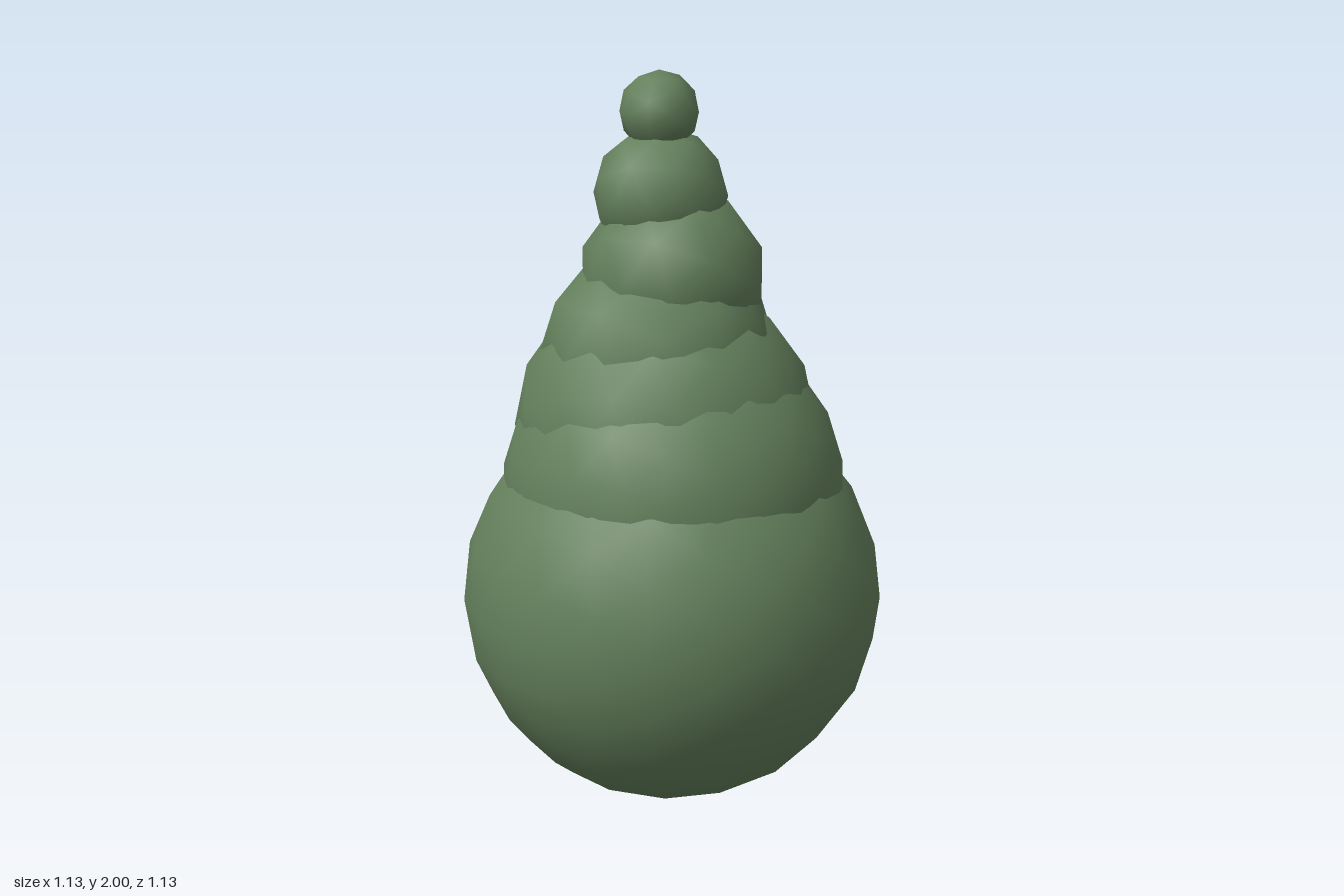
import * as THREE from 'three';

export function createModel() {
  const group = new THREE.Group();
  const green = new THREE.MeshStandardMaterial({ color: 0x64805c });

  // Stacked balls, shrinking and shifting slightly towards the tip:
  // name, radius, centre x, y, z, subdivision, turn about y
  const balls = [
    ['baseBall', 0.572, 0, 0.572, 0, 3, 0.15],
    ['secondBall', 0.466, 0.005, 0.87, 0, 3, 0.5],
    ['thirdBall', 0.41, -0.01, 1.04, -0.025, 2, 0.9],
    ['fourthBall', 0.325, -0.03, 1.23, -0.025, 1, 0.3],
    ['fifthBall', 0.252, 0.008, 1.45, -0.022, 1, 0.7],
    ['sixthBall', 0.182, -0.02, 1.67, -0.037, 1, 1.1],
    ['tipBall', 0.108, -0.025, 1.892, -0.032, 1, 0],
  ];

  for (const [name, radius, x, y, z, detail, turn] of balls) {
    const ball = new THREE.Mesh(new THREE.IcosahedronGeometry(radius, detail), green);
    ball.name = name;
    ball.position.set(x, y, z);
    ball.rotation.y = turn;
    group.add(ball);
  }
  return group;
}
